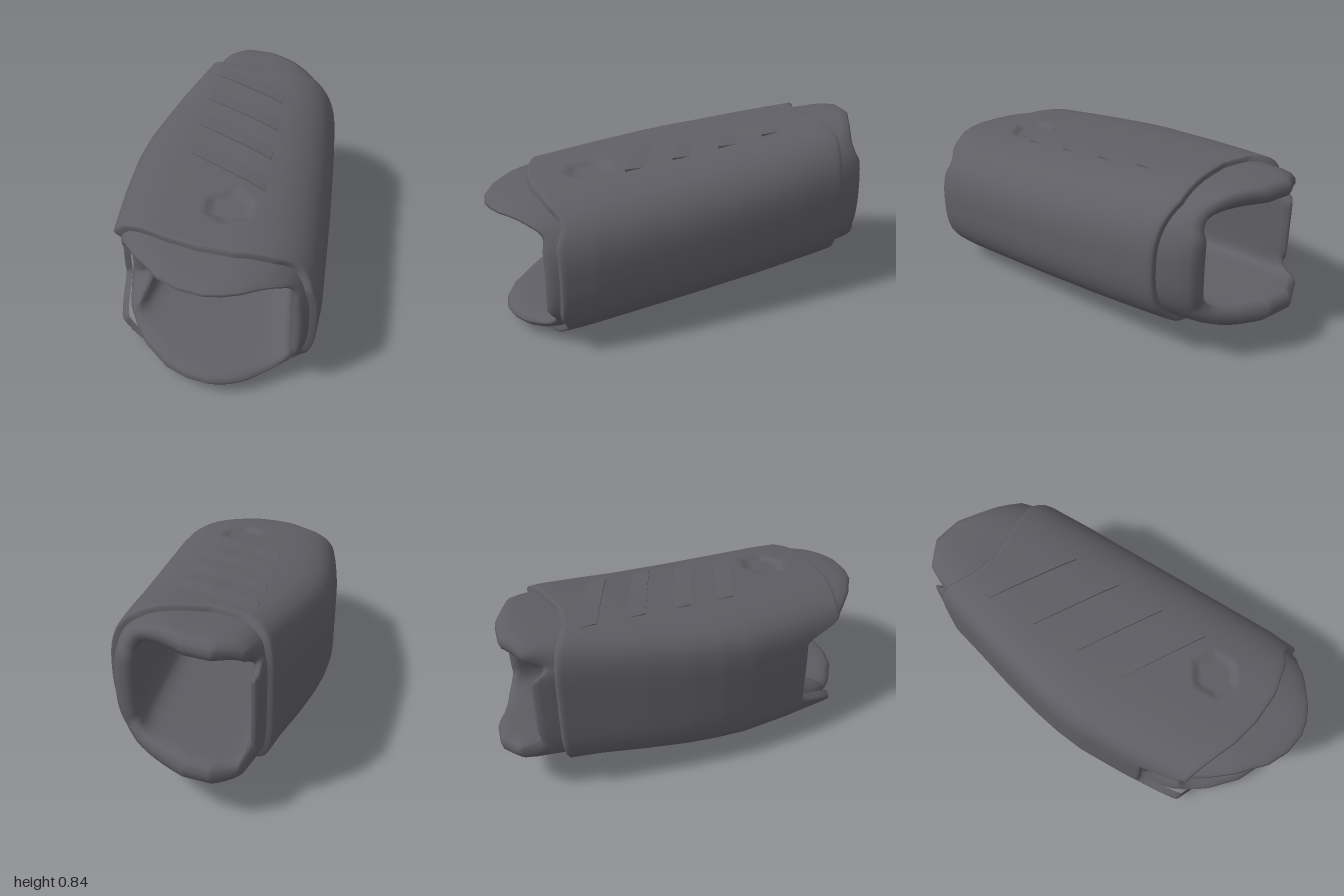
import * as THREE from 'three';

const { lerp, smoothstep } = THREE.MathUtils;
const AROUND = 180;

// Piecewise linear lookup in [[key, value, ...], ...] sorted by rising key
function look(table, k, col = 1) {
  let i = 1;
  while (i < table.length - 1 && k > table[i][0]) i++;
  const a = table[i - 1], b = table[i];
  const t = Math.min(1, Math.max(0, (k - a[0]) / (b[0] - a[0])));
  return lerp(a[col], b[col], t);
}

// Cross-section extents along z: z, left x, right x, bottom y, top y
const OUTER = [
  [-1.0, -0.24, 0.34, 0.175, 0.865], [-0.8, -0.28, 0.41, 0.15, 0.86], [-0.6, -0.335, 0.455, 0.135, 0.838],
  [-0.4, -0.392, 0.467, 0.11, 0.812], [-0.2, -0.44, 0.473, 0.085, 0.785], [-0.05, -0.468, 0.477, 0.07, 0.769],
  [0.1, -0.483, 0.48, 0.055, 0.752], [0.35, -0.476, 0.482, 0.034, 0.727],
  [0.64, -0.455, 0.483, 0.012, 0.697], [0.82, -0.43, 0.468, 0, 0.68], [1.0, -0.4, 0.42, 0.01, 0.65],
];
const INNER = [
  [-1.0, -0.19, 0.27, 0.31, 0.755], [-0.6, -0.22, 0.305, 0.27, 0.72], [0.5, -0.32, 0.34, 0.145, 0.627],
  [0.72, -0.37, 0.36, 0.12, 0.608], [1.0, -0.38, 0.365, 0.095, 0.585],
];
// Plan outlines (x, z) of the lips and of the shell's two edges
const FRONT_LIP = [
  [-0.46, 0.66], [-0.42, 0.7], [-0.33, 0.82], [-0.2, 0.93], [-0.08, 0.98], [0.05, 1],
  [0.14, 0.99], [0.22, 0.965], [0.37, 0.87], [0.44, 0.8], [0.48, 0.75],
];
const REAR_LIP = [[-0.27, -0.83], [-0.22, -0.95], [-0.08, -1], [0.08, -0.97], [0.35, -0.81], [0.4, -0.74]];
const SHELL_FRONT = [[-0.46, 0.64], [-0.4, 0.66], [-0.2, 0.75], [-0.05, 0.79], [0.12, 0.805], [0.3, 0.78], [0.48, 0.71]];
const SHELL_REAR = [[-0.33, -0.78], [-0.15, -0.68], [0, -0.64], [0.35, -0.66], [0.47, -0.62]];

// Corner squareness: the +x side is rounder than the -x side
const outerPower = (c) => (c > 0 ? 2.7 : 4.6);
const innerPower = (c) => (c > 0 ? 6 : 10);

function unit(j, power) {
  const a = (j / AROUND) * Math.PI * 2, c = Math.cos(a), s = Math.sin(a), n = power(c);
  const r = Math.pow(Math.abs(c) ** n + Math.abs(s) ** n, 1 / n);
  return [c / r, s / r];
}

function section(table, j, z, power, inset = 0) {
  const [xl, xr, yb, yt] = [1, 2, 3, 4].map((c) => look(table, z, c));
  const [ux, uy] = unit(j, power);
  return new THREE.Vector3(
    (xl + xr) / 2 + ux * ((xr - xl) / 2 - inset),
    (yb + yt) / 2 + uy * ((yt - yb) / 2 - inset), z);
}
const outer = (j, z, inset) => section(OUTER, j, z, outerPower, inset);
const inner = (j, z) => section(INNER, j, z, innerPower);

// Blends a side wall's end into the top and bottom outline; the -x wall is notched deeply at the front
function endCurve(j, left, right, outline) {
  const [ux, uy] = unit(j, outerPower);
  return lerp(ux < 0 ? left : right, outline(ux, uy), smoothstep(Math.abs(uy), 0.47, ux < 0 ? 0.74 : 0.86));
}
const frontTip = (j) => endCurve(j, 0.46, 0.84, (ux, uy) => look(FRONT_LIP, ux * 0.47 + 0.01) - (uy < 0 ? 0.06 : 0));
const rearTip = (j) => endCurve(j, -0.87, -0.79, (ux, uy) => look(REAR_LIP, ux * 0.335 + 0.065) + (uy > 0 ? 0.06 : 0));
const shellFront = (j) => endCurve(j, 0.43, 0.79, (ux) => look(SHELL_FRONT, ux * 0.47 + 0.01));
const shellRear = (j) => look(SHELL_REAR, unit(j, outerPower)[0] * 0.4 + 0.07);

// Skins a list of closed loops; ring also joins the last loop to the first
function loft(loops, ring) {
  const pos = [], idx = [];
  loops.forEach((f) => { for (let j = 0; j < AROUND; j++) pos.push(...f(j).toArray()); });
  const rows = ring ? loops.length : loops.length - 1;
  for (let k = 0; k < rows; k++) {
    for (let j = 0; j < AROUND; j++) {
      const a = k * AROUND + j, b = k * AROUND + ((j + 1) % AROUND);
      const c = ((k + 1) % loops.length) * AROUND + j;
      const d = ((k + 1) % loops.length) * AROUND + ((j + 1) % AROUND);
      idx.push(a, b, d, a, d, c);
    }
  }
  const g = new THREE.BufferGeometry();
  g.setAttribute('position', new THREE.Float32BufferAttribute(pos, 3));
  g.setIndex(idx);
  g.computeVertexNormals();
  return g;
}

// Hollow inner sleeve with rounded lips at both ends
function sleeveGeometry() {
  const loops = [];
  const mix = (tip, back, f) => (j) => outer(j, tip(j) + back, 0.025).lerp(inner(j, tip(j) + back), f);
  for (let i = 0; i <= 16; i++) {
    loops.push((j) => outer(j, lerp(rearTip(j) + 0.08, frontTip(j) - 0.09, i / 16), 0.025));
  }
  for (const [b, f] of [[-0.03, 0.15], [-0.008, 0.35], [0, 0.55], [-0.012, 0.8], [-0.04, 0.97]]) loops.push(mix(frontTip, b, f));
  for (let i = 0; i <= 10; i++) {
    loops.push((j) => inner(j, lerp(frontTip(j) - 0.09, rearTip(j) + 0.08, i / 10)));
  }
  for (const [b, f] of [[0.035, 0.97], [0.01, 0.85], [0, 0.55], [0.008, 0.25], [0.03, 0.06]]) loops.push(mix(rearTip, b, f));
  return loft(loops, true);
}

// Outer shell with a shallow hexagonal dimple on top and bottom
function shellGeometry() {
  const at = (t, inset) => (j) => {
    const p = outer(j, lerp(shellRear(j), shellFront(j), t), inset);
    const uy = unit(j, outerPower)[1];
    if (Math.abs(uy) > 0.8) {
      let d = 0;
      for (let k = 0; k < 3; k++) {
        const a = (k * Math.PI) / 3;
        d = Math.max(d, Math.abs((p.x - 0.055) * Math.cos(a) + (p.z - 0.52) * Math.sin(a)));
      }
      p.y -= Math.sign(uy) * 0.02 * (1 - smoothstep(d, 0.075, 0.105));
    }
    return p;
  };
  const loops = [at(0, 0.035), at(0, 0.008)];
  for (let i = 0; i <= 72; i++) loops.push(at(lerp(0.006, 0.994, i / 72), 0));
  loops.push(at(1, 0.008), at(1, 0.035));
  return loft(loops, false);
}

// Slanted wedge that follows the shell; side is 1 for top, -1 for bottom
function ribGeometry(zMid, side) {
  const g = new THREE.BoxGeometry(0.38, 2, 0.11, 12, 1, 5);
  const p = g.attributes.position;
  for (let i = 0; i < p.count; i++) {
    const x = p.getX(i), lz = p.getZ(i), z = zMid + lz + x * 0.6;
    const [xl, xr, yb, yt] = [1, 2, 3, 4].map((c) => look(OUTER, z, c));
    const nx = (x - (xl + xr) / 2) / ((xr - xl) / 2), n = outerPower(nx);
    const surface = (yb + yt) / 2 + side * ((yt - yb) / 2) * Math.pow(1 - Math.abs(nx) ** n, 1 / n);
    const rise = p.getY(i) > 0 ? lerp(-0.002, 0.011, lz / 0.11 + 0.5) * lerp(0.5, 1, x / 0.38 + 0.5) : -0.012;
    p.setXYZ(i, x, surface + side * rise, z);
  }
  if (side < 0) g.setIndex(Array.from(g.index.array).reverse());
  g.computeVertexNormals();
  return g;
}

export function createModel() {
  const group = new THREE.Group();
  group.name = 'hollowGripSleeve';
  const polymer = new THREE.MeshStandardMaterial({ color: 0x5f5e64 });
  polymer.name = 'dark grey';
  const add = (name, geometry) => {
    const mesh = new THREE.Mesh(geometry, polymer);
    mesh.name = name;
    group.add(mesh);
  };
  add('innerSleeve', sleeveGeometry());
  add('outerShell', shellGeometry());
  // Grip ribs
  for (const [name, side] of [['topRib', 1], ['bottomRib', -1]]) {
    for (let i = 0; i < 4; i++) add(name + (i + 1), ribGeometry(-0.48 + i * 0.235, side));
  }
  return group;
}
